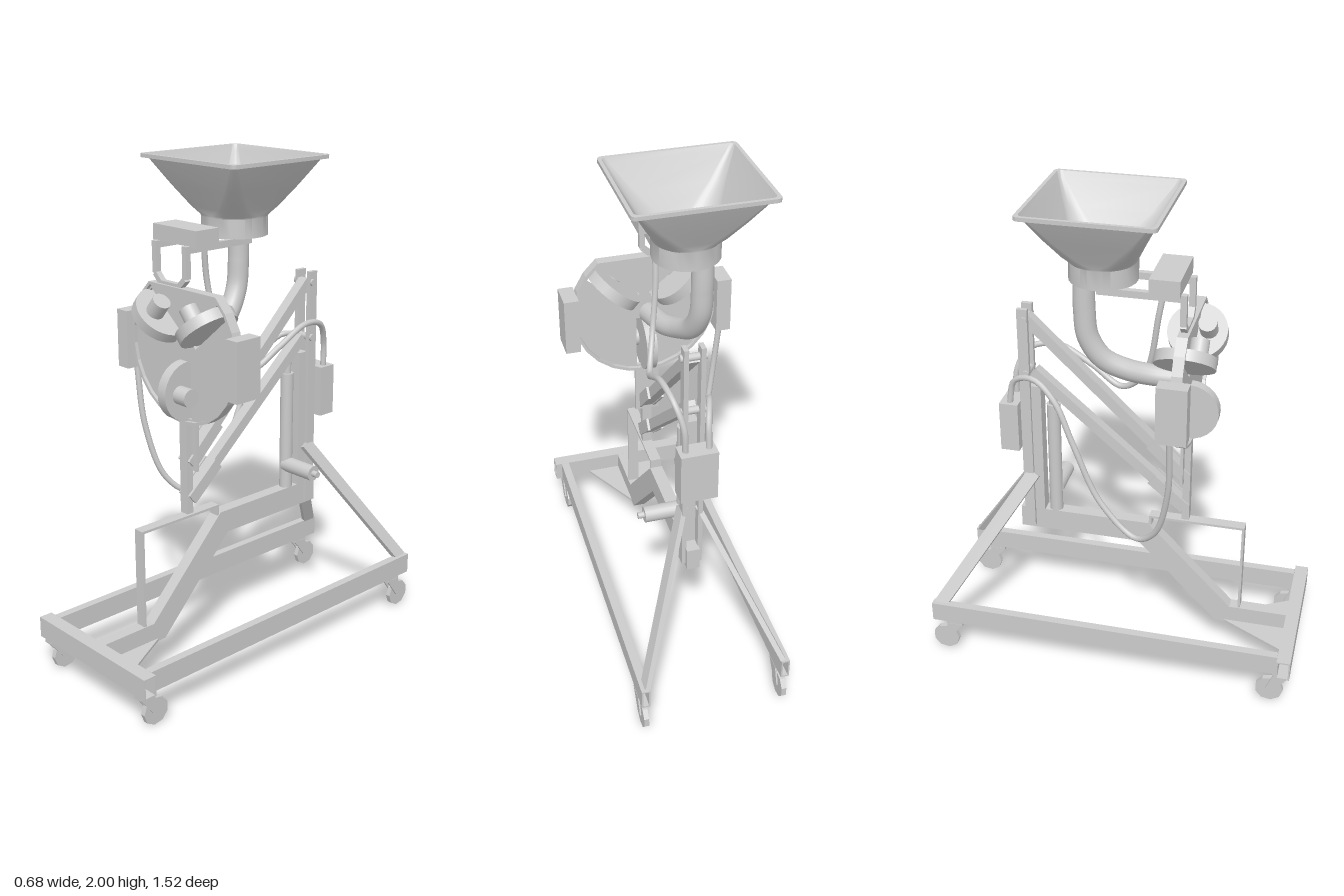
import * as THREE from 'three';
import { toCreasedNormals } from 'three/addons/utils/BufferGeometryUtils.js';

const V = (x, y, z) => new THREE.Vector3(x, y, z);

export function createModel() {
  const model = new THREE.Group();
  const mat = new THREE.MeshStandardMaterial({ color: 0xcccccc });
  const thin = new THREE.MeshStandardMaterial({ color: 0xcccccc, side: THREE.DoubleSide });

  const add = (name, geo, parent = model, m = mat) => {
    const mesh = new THREE.Mesh(geo, m);
    mesh.name = name;
    parent.add(mesh);
    return mesh;
  };
  // box given by its limits on each axis
  const box = (name, [x0, x1], [y0, y1], [z0, z1], parent) => {
    const mesh = add(name, new THREE.BoxGeometry(x1 - x0, y1 - y0, z1 - z0), parent);
    mesh.position.set((x0 + x1) / 2, (y0 + y1) / 2, (z0 + z1) / 2);
    return mesh;
  };
  // box bar between two points
  const bar = (name, a, b, w, h, up = V(0, 1, 0)) => {
    const mesh = add(name, new THREE.BoxGeometry(w, h, a.distanceTo(b)));
    mesh.up.copy(up);
    mesh.position.copy(a).add(b).multiplyScalar(0.5);
    mesh.lookAt(b);
    return mesh;
  };
  // side profile of [z, y] points extruded across x
  const sideShape = (pts, w) => {
    const s = new THREE.Shape(pts.map(p => new THREE.Vector2(p[0], p[1])));
    return new THREE.ExtrudeGeometry(s, { depth: w, bevelEnabled: false })
      .translate(0, 0, -w / 2).rotateY(-Math.PI / 2);
  };
  const rect = (C, x0, y0, x1, y1) => new C([[x0, y0], [x1, y0], [x1, y1], [x0, y1]]
    .map(p => new THREE.Vector2(p[0], p[1])));
  // hollow rectangular tube along z
  const hollow = (w, h, len) => {
    const s = rect(THREE.Shape, -w / 2, -h / 2, w / 2, h / 2);
    const t = 0.006;
    s.holes.push(rect(THREE.Path, -w / 2 + t, -h / 2 + t, w / 2 - t, h / 2 - t));
    return new THREE.ExtrudeGeometry(s, { depth: len, bevelEnabled: false }).translate(0, 0, -len / 2);
  };
  const tube = (name, pts, r, seg = 64, sides = 10) =>
    add(name, new THREE.TubeGeometry(new THREE.CatmullRomCurve3(pts.map(p => V(...p))), seg, r, sides), model, thin);

  // Base frame
  const front = add('frontCrossTube', hollow(0.055, 0.085, 0.656));
  front.rotation.y = Math.PI / 2;
  front.position.set(0, 0.188, 0.733);
  for (const s of [-1, 1]) {
    add('sideRail', hollow(0.034, 0.085, 1.466)).position.set(s * 0.284, 0.188, -0.028);
    bar('rearBrace', V(s * 0.28, 0.22, -0.73), V(s * 0.03, 0.78, -0.37), 0.02, 0.055, V(0, 0, 1));
    // Trailing casters
    for (const z of [0.68, -0.71]) {
      const caster = new THREE.Group();
      caster.name = 'caster';
      caster.position.set(s * 0.284, 0.057, z);
      model.add(caster);
      const wheel = add('wheel', new THREE.CylinderGeometry(0.057, 0.057, 0.02, 9).toNonIndexed(), caster);
      wheel.geometry.computeVertexNormals();
      wheel.rotation.z = Math.PI / 2;
      box('swivel', [-0.016, 0.016], [0.074, 0.09], [0.01, 0.08], caster);
      for (const t of [-1, 1]) {
        add('forkPlate', sideShape([[0.08, 0.08], [0.015, 0.08], [-0.015, 0.005], [0, -0.012], [0.02, 0]], 0.006), caster)
          .position.x = t * 0.014;
      }
    }
  }

  // Bent spine, its gusset and the flat hoop above it
  add('spine', sideShape([[0.71, 0.23], [0.466, 0.23], [0.11, 0.6], [-0.434, 0.6], [-0.434, 0.505],
    [0.07, 0.505], [0.41, 0.148], [0.71, 0.148]], 0.052));
  const gusset = new THREE.Shape([[-0.17, -0.71], [0.17, -0.71], [0.03, -0.45], [-0.03, -0.45]]
    .map(p => new THREE.Vector2(p[0], p[1])));
  add('spineGusset', new THREE.ExtrudeGeometry(gusset, { depth: 0.01, bevelEnabled: false }).rotateX(-Math.PI / 2))
    .position.y = 0.15;
  add('hoop', sideShape([[0.51, 0.2], [0.51, 0.635], [0.115, 0.635], [0.115, 0.59], [0.125, 0.59],
    [0.125, 0.625], [0.5, 0.625], [0.5, 0.2]], 0.045));

  // Mast, lift actuator and its motor
  box('mastCore', [-0.028, 0.028], [0.6, 1.18], [-0.375, -0.33]);
  for (const s of [-1, 1]) box('mastCheek', [s * 0.032 - 0.009, s * 0.032 + 0.009], [0.52, 1.515], [-0.412, -0.37]);
  for (const y of [1.47, 1.24]) {
    const pin = add('pivotPin', new THREE.CylinderGeometry(0.015, 0.015, 0.1, 12));
    pin.rotation.z = Math.PI / 2;
    pin.position.set(0, y, -0.385);
  }
  const cyl = (name, r, h, x, y, z, alongX) => {
    const m = add(name, new THREE.CylinderGeometry(r, r, h, 20));
    m.position.set(x, y, z);
    if (alongX) m.rotation.z = Math.PI / 2;
  };
  cyl('actuatorBody', 0.027, 0.5, 0, 0.85, -0.287);
  cyl('actuatorTip', 0.017, 0.07, 0, 1.13, -0.287);
  cyl('actuatorMotor', 0.032, 0.16, 0.08, 0.7, -0.287, true);
  cyl('actuatorKnob', 0.013, 0.04, 0.165, 0.7, -0.287, true);

  // Parallel lift arms with fork ends
  for (const [y0, y1, z0] of [[1.47, 0.845, -0.385], [1.24, 0.7, -0.36]]) {
    const a = V(0, y0, z0), b = V(0, y1, 0.262);
    bar('liftArm', a, b, 0.044, 0.042);
    for (const s of [-1, 1]) {
      bar('armFork', a.clone().lerp(b, 0.78).setX(s * 0.028), b.clone().setX(s * 0.028), 0.01, 0.05);
    }
  }

  // Carriage post
  box('carriagePost', [-0.02, 0.02], [0.64, 1.06], [0.25, 0.28]);
  box('carriageBracket', [-0.05, 0.05], [0.82, 1.03], [0.243, 0.255]);

  // Slotted round plate with a flat top and a raised rim
  const R = 0.297, flat = 0.23, hubY = 1.31;
  const outline = (C, r, top) => {
    const a = Math.asin(top / r), pts = [];
    for (let i = 0; i <= 20; i++) {
      const t = Math.PI - a + (i / 20) * (Math.PI + 2 * a);
      pts.push(new THREE.Vector2(r * Math.cos(t), r * Math.sin(t)));
    }
    return new C(pts);
  };
  const deg = Math.PI / 180, spokes = [[40, 1], [140, -1], [-90, 1]];
  const plate = outline(THREE.Shape, R - 0.005, flat - 0.005);
  for (const [d] of spokes) {
    const c = Math.cos(d * deg), s = Math.sin(d * deg);
    plate.holes.push(new THREE.Path([[0.052, -0.034], [0.275, -0.034], [0.275, 0.034], [0.052, 0.034]]
      .map(([u, v]) => new THREE.Vector2(u * c - v * s, u * s + v * c))));
  }
  add('drumPlate', new THREE.ExtrudeGeometry(plate, { depth: 0.012, bevelEnabled: false })).position.set(0.005, hubY, 0.258);
  const rim = outline(THREE.Shape, R, flat);
  rim.holes.push(outline(THREE.Path, R - 0.012, flat - 0.012));
  add('drumRim', new THREE.ExtrudeGeometry(rim, { depth: 0.042, bevelEnabled: false })).position.set(0.005, hubY, 0.242);

  // Three discs set on edge in the slots, each with a motor
  for (const [d, side] of spokes) {
    const unit = new THREE.Group();
    unit.name = 'discUnit';
    unit.position.set(0, hubY, 0.266);
    unit.rotation.z = d * deg;
    model.add(unit);
    add('disc', new THREE.CylinderGeometry(0.118, 0.118, 0.044, 28), unit).position.x = 0.165;
    add('discMotor', new THREE.CylinderGeometry(0.036, 0.036, 0.07, 18), unit).position.set(0.17, side * 0.052, 0.045);
  }

  // Side boxes, control box and top box
  for (const s of [-1, 1]) {
    box('sideBox', [s * 0.312 - 0.03, s * 0.312 + 0.03], [1.178, 1.41], [0.2, 0.317]);
  }
  box('controlBox', [-0.072, 0.072], [0.9, 1.11], [-0.492, -0.415]);
  box('topBox', [-0.19, 0.055], [1.695, 1.757], [0.138, 0.252]);

  // Chamfered bracket and the two bars that carry the hopper
  const loop = [[-0.16, 1.69], [-0.16, 1.575], [-0.125, 1.54], [-0.025, 1.54], [0.012, 1.575], [0.012, 1.69]];
  for (let i = 0; i < 5; i++) bar('hopperBracket', V(...loop[i], 0.262), V(...loop[i + 1], 0.262), 0.022, 0.024, V(0, 0, 1));
  for (const x of [-0.16, 0.012]) box('hopperBar', [x - 0.012, x + 0.012], [1.67, 1.697], [-0.06, 0.274]);

  // Hopper lofted from a rounded square to a round collar: half x, half z, corner radius, y
  const rings = [[0.266, 0.253, 0.02, 1.985], [0.266, 0.253, 0.02, 2], [0.252, 0.239, 0.02, 2],
    [0.24, 0.228, 0.022, 1.975], [0.19, 0.184, 0.05, 1.885], [0.145, 0.143, 0.085, 1.805],
    [0.132, 0.13, 0.12, 1.777], [0.13, 0.13, 0.13, 1.77], [0.13, 0.13, 0.13, 1.695]];
  const K = 8, N = 4 * K, pos = [], idx = [];
  rings.forEach(([hx, hz, r, y], j) => {
    for (let i = 0; i < N; i++) {
      const q = Math.floor(i / K), t = (q + (i % K) / (K - 1)) * Math.PI / 2;
      const sx = q === 0 || q === 3 ? 1 : -1, sz = q < 2 ? 1 : -1;
      pos.push(sx * (hx - r) + r * Math.cos(t), y, sz * (hz - r) + r * Math.sin(t));
      if (j) {
        const a = (j - 1) * N + i, b = (j - 1) * N + (i + 1) % N;
        idx.push(a, b, a + N, b, b + N, a + N);
      }
    }
  });
  const loft = new THREE.BufferGeometry();
  loft.setAttribute('position', new THREE.Float32BufferAttribute(pos, 3));
  loft.setIndex(idx);
  add('hopper', toCreasedNormals(loft, 0.6), model, thin).position.set(-0.07, 0, -0.057);
  const floor = add('hopperFloor', new THREE.CylinderGeometry(0.129, 0.129, 0.01, 28));
  floor.position.set(-0.07, 1.701, -0.057);

  // Feed pipe
  tube('feedPipe', [[-0.115, 1.7, -0.12], [-0.115, 1.58, -0.12], [-0.113, 1.47, -0.108], [-0.1, 1.38, -0.055],
    [-0.075, 1.33, 0.03], [-0.04, 1.3, 0.12], [-0.01, 1.285, 0.25]], 0.042, 40, 16);

  // Cables
  tube('lowerCable', [[-0.312, 1.18, 0.25], [-0.28, 0.92, 0.24], [-0.23, 0.7, 0.18], [-0.18, 0.63, 0.09],
    [-0.15, 0.76, -0.06], [-0.135, 1, -0.17], [-0.11, 1.17, -0.25], [-0.08, 1.24, -0.34], [-0.05, 1.21, -0.43],
    [-0.045, 1.1, -0.455]], 0.012);
  tube('upperCable', [[0, 1.7, 0.165], [-0.01, 1.54, 0.14], [0.02, 1.28, 0.085], [0.06, 1.18, -0.02], [0.085, 1.25, -0.15],
    [0.09, 1.32, -0.29], [0.075, 1.3, -0.4], [0.05, 1.21, -0.45], [0.045, 1.1, -0.455]], 0.012);

  return model;
}
